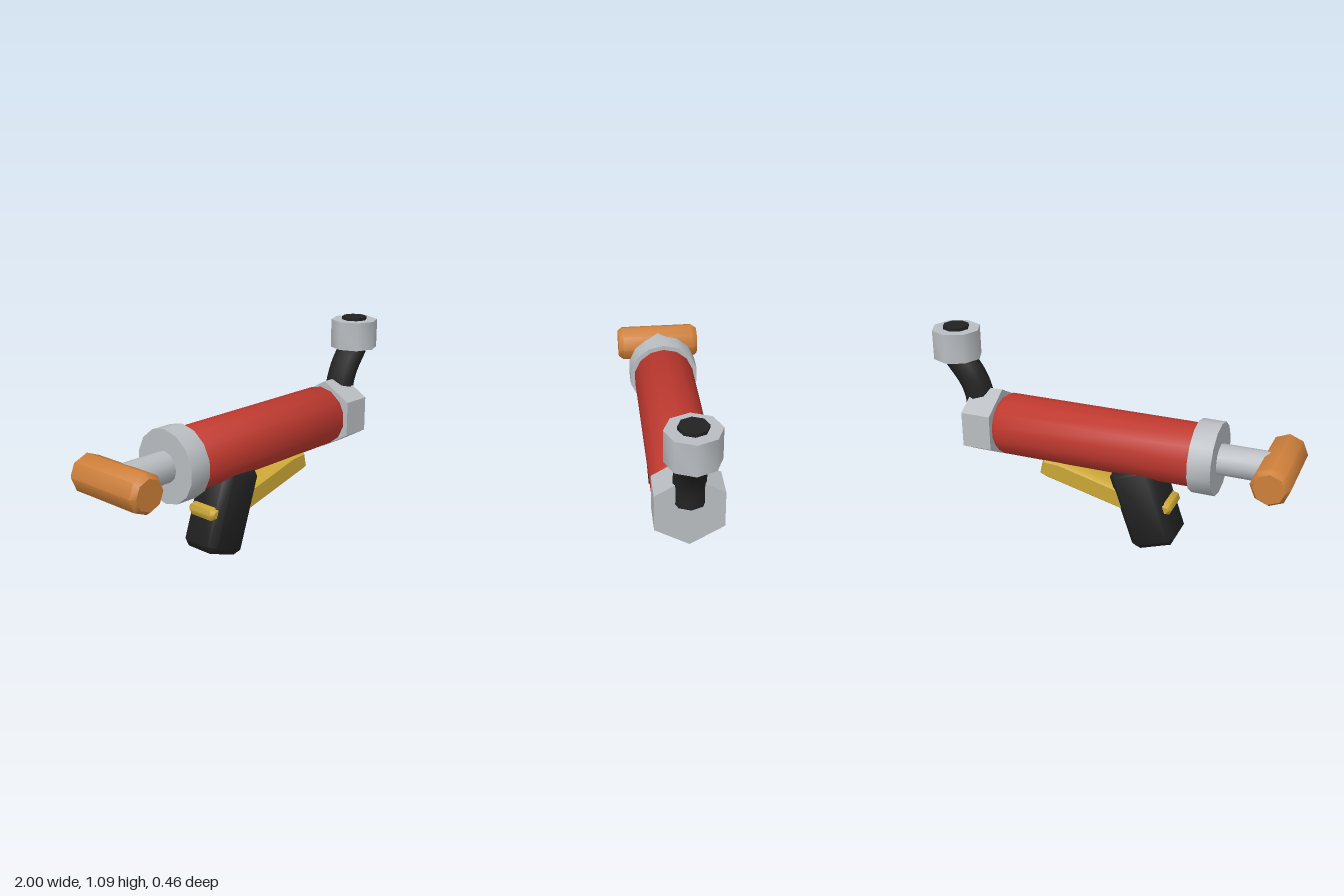
import * as THREE from 'three';
import { toCreasedNormals } from 'three/addons/utils/BufferGeometryUtils.js';
import { ConvexGeometry } from 'three/addons/geometries/ConvexGeometry.js';

const CREASE = 0.87; // 50 degrees: chamfers shade smoothly, caps stay sharp

function material(name, color) {
  const m = new THREE.MeshStandardMaterial({ color });
  m.name = name;
  return m;
}

// Closed turned part; profile is [radius, height] from bottom to top.
function turned(profile, sides, phase = 0) {
  const pts = [[0, profile[0][1]], ...profile, [0, profile[profile.length - 1][1]]]
    .map(([r, h]) => new THREE.Vector2(r, h));
  return toCreasedNormals(new THREE.LatheGeometry(pts, sides, phase), CREASE);
}

// Turned part lying along x, with a corner pointing up.
function turnedX(profile, sides) {
  return turned(profile, sides, Math.PI / 2).rotateZ(-Math.PI / 2);
}

// Box with every edge cut at 45 degrees.
function chamferBox(w, h, d, c) {
  const pts = [];
  for (const x of [-1, 1]) for (const y of [-1, 1]) for (const z of [-1, 1]) {
    for (let a = 0; a < 3; a++) {
      const cut = [c, c, c];
      cut[a] = 0;
      pts.push(new THREE.Vector3(x * (w / 2 - cut[0]), y * (h / 2 - cut[1]), z * (d / 2 - cut[2])));
    }
  }
  return toCreasedNormals(new ConvexGeometry(pts), CREASE);
}

export function createModel() {
  const group = new THREE.Group();
  const red = material('red paint', 0xc0392f);
  const steel = material('light steel', 0xb9bdc1);
  const black = material('black rubber', 0x222222);
  const brass = material('brass yellow', 0xcaa636);
  const wood = material('orange wood', 0xcd7f3a);

  const add = (name, geometry, mat, x = 0, y = 0, z = 0, parent = group) => {
    const mesh = new THREE.Mesh(geometry, mat);
    mesh.name = name;
    mesh.position.set(x, y, z);
    parent.add(mesh);
    return mesh;
  };
  const axisY = 0.57;

  // Barrel with its rear collar, plunger rod and hexagonal front block
  add('barrel', turnedX([[0.14, -0.52], [0.165, -0.49], [0.165, 0.58], [0.138, 0.615]], 14), red, 0, axisY);
  add('rearCollar', turnedX([[0.19, -0.6], [0.19, -0.48]], 14), steel, 0, axisY);
  add('plungerRod', turnedX([[0.08, -0.9], [0.08, -0.59]], 12), steel, 0, axisY);
  add('frontBlock', turnedX([[0.19, 0.612], [0.19, 0.775]], 6), steel, 0, axisY);

  // Cross handle on the rod, lying along z
  const handle = turned([[0.08, -0.232], [0.1, -0.205], [0.1, 0.205], [0.08, 0.232]], 8);
  add('plungerHandle', handle.rotateX(Math.PI / 2), wood, -0.9, axisY);

  // Slanted pistol grip
  const grip = chamferBox(0.25, 0.465, 0.23, 0.036).rotateZ(-THREE.MathUtils.degToRad(19));
  add('grip', grip, black, -0.218, 0.253);

  // Lever passing through the grip, with a narrow tail at the back
  const leverProfile = [
    [-0.362, 0.235], [-0.3, 0.225], [-0.15, 0.205], [0.33, 0.326], [0.369, 0.342],
    [0.348, 0.433], [0.25, 0.428], [-0.2, 0.31], [-0.335, 0.3], [-0.365, 0.293], [-0.376, 0.265],
  ].map(([x, y]) => new THREE.Vector2(x, y));
  const lever = new THREE.ExtrudeGeometry(new THREE.Shape(leverProfile), {
    depth: 0.14, bevelEnabled: true, bevelThickness: 0.02, bevelSize: 0.015, bevelOffset: -0.015, bevelSegments: 1,
  }).translate(0, 0, -0.07);
  add('lever', toCreasedNormals(lever, CREASE), brass);

  // Bent hose with closed ends
  const hose = new THREE.Group();
  hose.name = 'hose';
  group.add(hose);
  const path = new THREE.CatmullRomCurve3([
    [0.75, 0.615], [0.75, 0.715], [0.785, 0.81], [0.865, 0.92],
  ].map(([x, y]) => new THREE.Vector3(x, y, 0)));
  add('hoseTube', new THREE.TubeGeometry(path, 12, 0.078, 8), black, 0, 0, 0, hose);
  for (const [name, t, sign] of [['hoseLowerEnd', 0, -1], ['hoseUpperEnd', 1, 1]]) {
    const p = path.getPointAt(t);
    const dir = path.getTangentAt(t).multiplyScalar(sign);
    const disc = new THREE.CircleGeometry(0.078, 8).rotateY(Math.PI / 2).rotateZ(Math.atan2(dir.y, dir.x));
    add(name, disc, black, p.x, p.y, 0, hose);
  }

  // Octagonal nozzle cup and its plug
  add('nozzleCup', turned([[0.13, 0.917], [0.13, 1.075]], 8), steel, 0.868);
  add('nozzlePlug', turned([[0.07, 1.0], [0.07, 1.092]], 8), black, 0.868);

  return group;
}
